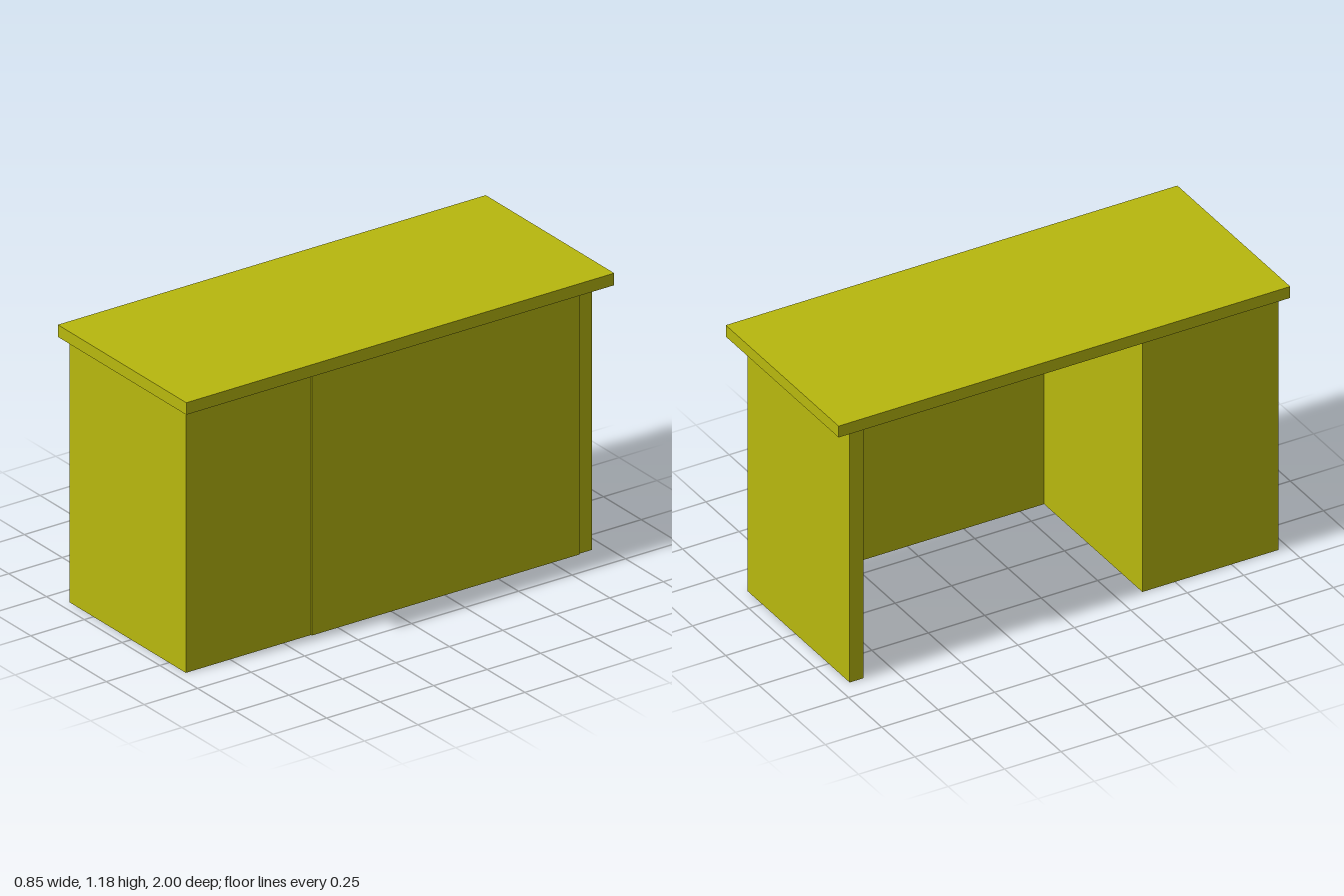
import * as THREE from 'three';

export function createModel() {
  const desk = new THREE.Group();
  desk.name = 'desk';
  const material = new THREE.MeshStandardMaterial({ color: 0xb8b80e });

  // Adds a box spanning the given [min, max] ranges
  function slab(name, [x0, x1], [y0, y1], [z0, z1]) {
    const mesh = new THREE.Mesh(new THREE.BoxGeometry(x1 - x0, y1 - y0, z1 - z0), material);
    mesh.position.set((x0 + x1) / 2, (y0 + y1) / 2, (z0 + z1) / 2);
    mesh.name = name;
    desk.add(mesh);
  }

  const legHeight = [0, 1.121];

  // Worktop, separated from the supports by a narrow shadow gap
  slab('worktop', [-0.425, 0.425], [1.127, 1.178], [-1, 1]);
  // Pedestal cabinet at one end, plain side panel at the other
  slab('cabinet', [-0.408, 0.361], legHeight, [0.355, 0.957]);
  slab('endPanel', [-0.408, 0.361], legHeight, [-0.941, -0.88]);
  // Long modesty panel joining them, slightly proud of both
  slab('modestyPanel', [0.332, 0.367], legHeight, [-0.88, 0.372]);

  return desk;
}
